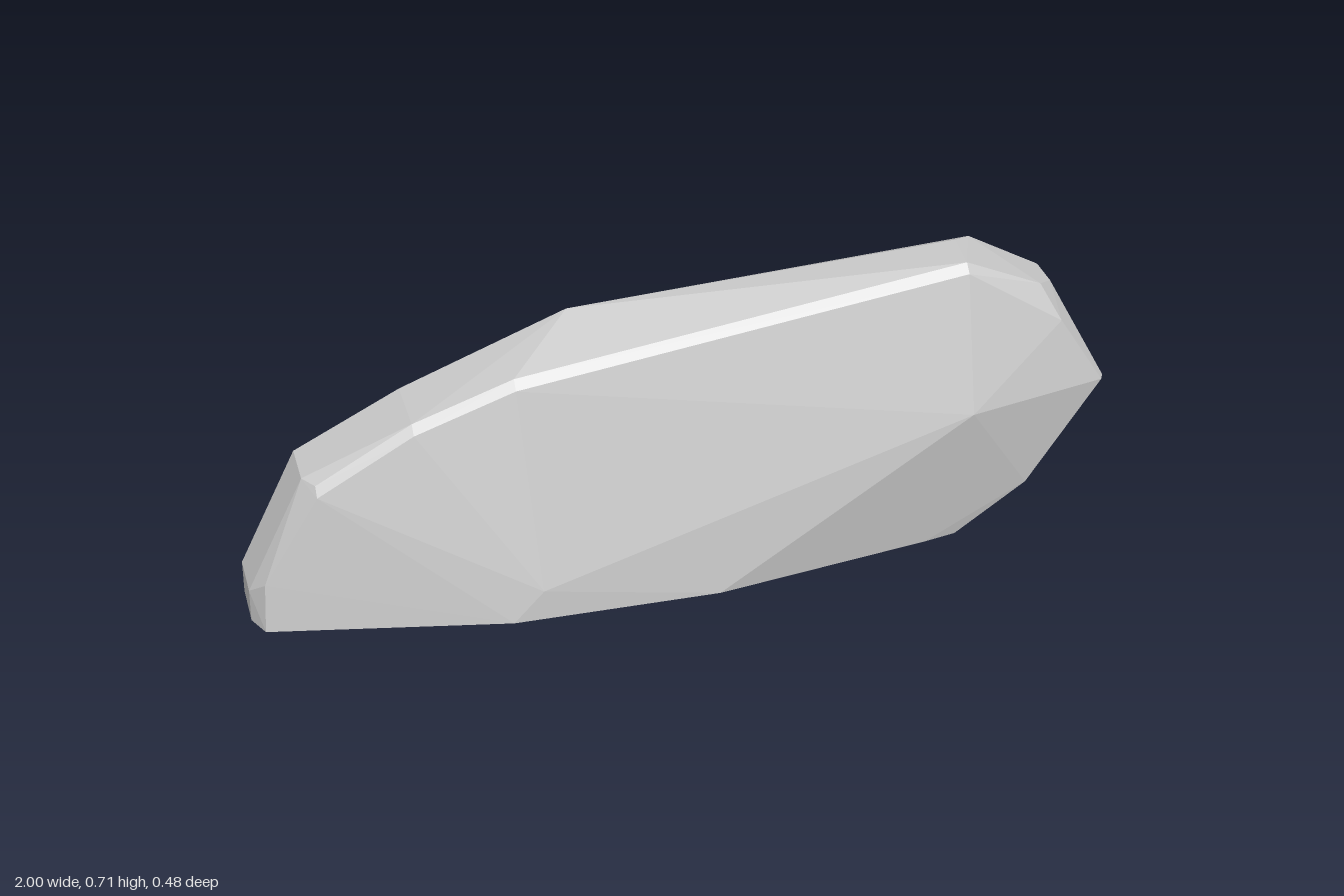
import * as THREE from 'three';
import { ConvexGeometry } from 'three/addons/geometries/ConvexGeometry.js';

// A chiselled boulder: the convex hull of corner groups, each sharing one coordinate.
export function createModel() {
  const corners = [];
  const add = (x, y, z) => corners.push(new THREE.Vector3(x, y, z));

  // flat underside (x, z)
  [[-1, -0.04], [-0.97, -0.06], [-0.91, -0.085], [-0.43, -0.24], [0.65, -0.24],
    [0.65, 0.14], [0.57, 0.157], [0.05, 0.242], [-0.43, 0.242], [-0.975, 0.135],
    [-1, 0.08]].forEach(([x, z]) => add(x, 0, z));

  // flat back face (x, y)
  [[0.82, 0.19], [0.855, 0.25], [0.855, 0.325], [0.80, 0.435], [0.69, 0.49],
    [-0.11, 0.49], [-0.21, 0.435], [-0.315, 0.33]].forEach(([x, y]) => add(x, y, -0.24));

  // blunt low end
  [-0.04, 0.08].forEach((z) => { add(-1, 0.08, z); add(-0.865, 0.355, z); });
  add(-0.968, 0.12, 0.13);

  // top crest, with a narrow bevel along its front edge
  [[-0.84, 0.355], [-0.62, 0.48], [-0.39, 0.56], [0.65, 0.71]].forEach(([x, y]) => {
    add(x, y, 0.12);
    add(x, y - 0.02, 0.14);
  });
  add(-0.62, 0.48, -0.04);
  add(-0.235, 0.63, -0.04);
  add(0.665, 0.705, 0);
  add(0.71, 0.69, -0.037);

  // rounded tall end, from the upper chamfer down to the undercut
  [[0.88, 0.6, -0.028], [0.88, 0.6, 0.055], [0.835, 0.625, 0.108], [0.88, 0.54, 0.14],
    [0.97, 0.43, -0.027], [0.98, 0.35, -0.04], [0.997, 0.365, 0.025], [1, 0.37, 0.12],
    [0.99, 0.37, 0.14], [0.95, 0.3, 0], [0.95, 0.3, 0.08],
    [0.83, 0.105, -0.04], [0.83, 0.112, 0], [0.83, 0.112, 0.08],
    [0.83, 0.125, 0.12], [0.82, 0.115, 0.137]].forEach((p) => add(...p));

  // bulging front
  add(0.65, 0.37, 0.22);
  add(-0.36, 0.075, 0.243);

  const rock = new THREE.Mesh(
    new ConvexGeometry(corners),
    new THREE.MeshStandardMaterial({ color: 0xcccccc, flatShading: true }),
  );
  rock.name = 'rock';

  const group = new THREE.Group();
  group.name = 'boulder';
  group.add(rock);
  return group;
}
